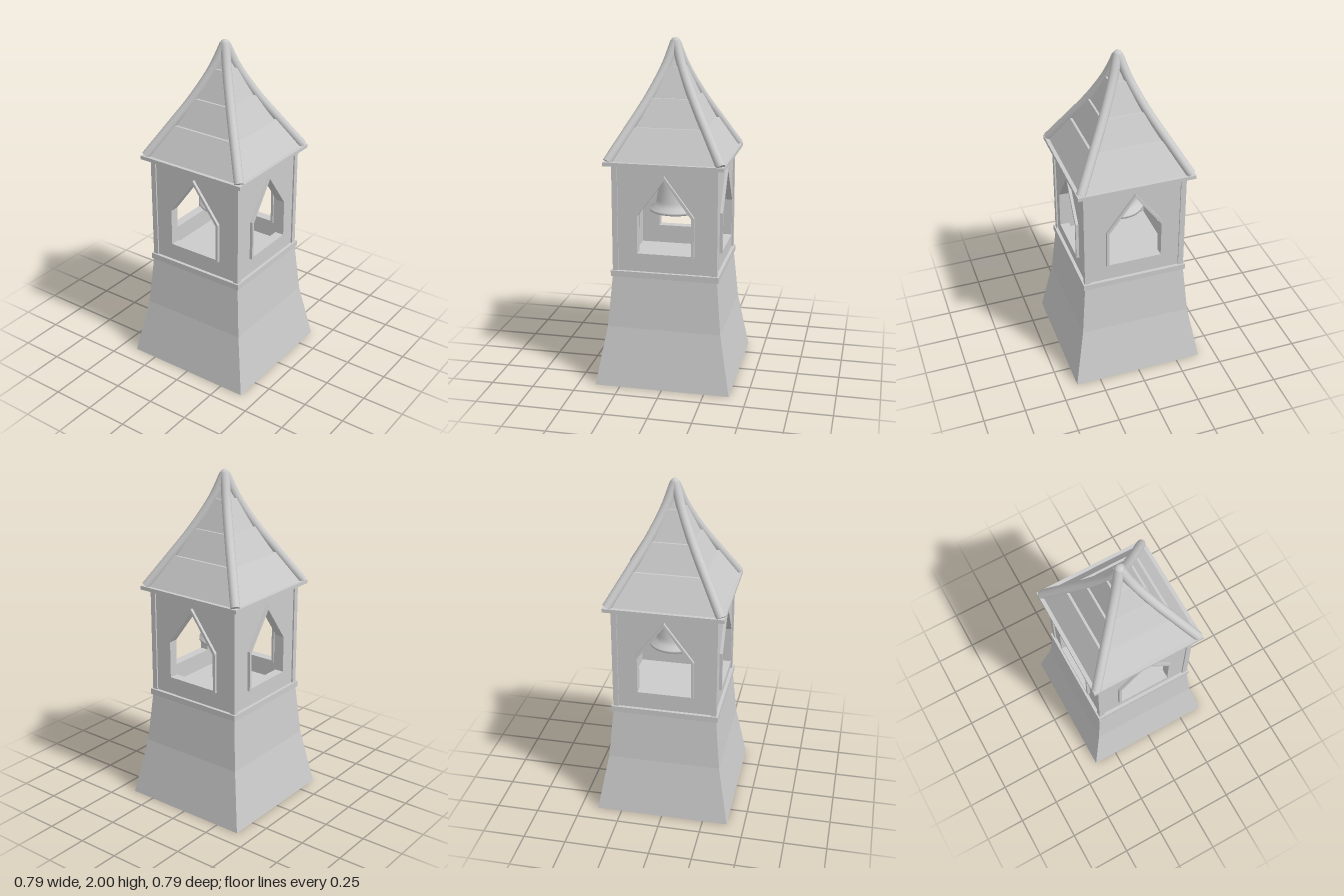
import * as THREE from 'three';

const grey = new THREE.MeshStandardMaterial({ color: 0xcccccc });
const flat = new THREE.MeshStandardMaterial({ color: 0xcccccc, flatShading: true });
const flatDouble = new THREE.MeshStandardMaterial({ color: 0xcccccc, flatShading: true, side: THREE.DoubleSide });
const smoothDouble = new THREE.MeshStandardMaterial({ color: 0xcccccc, side: THREE.DoubleSide });

function add(parent, name, geometry, material = flat, x = 0, y = 0, z = 0) {
  const mesh = new THREE.Mesh(geometry, material);
  mesh.name = name;
  mesh.position.set(x, y, z);
  parent.add(mesh);
  return mesh;
}

// Square frustum between two heights, given half widths
function frustum(y0, half0, y1, half1, open = false) {
  const g = new THREE.CylinderGeometry(half1 * Math.SQRT2, half0 * Math.SQRT2, y1 - y0, 4, 1, open);
  return g.rotateY(Math.PI / 4).translate(0, (y0 + y1) / 2, 0);
}

// Pointed window outline
function windowPath(PathClass, half, sill, shoulder, apex) {
  const p = new PathClass();
  p.moveTo(-half, sill);
  p.lineTo(half, sill);
  p.lineTo(half, shoulder);
  p.lineTo(0, apex);
  p.lineTo(-half, shoulder);
  p.closePath();
  return p;
}

export function createModel() {
  const model = new THREE.Group();
  model.name = 'bellTower';

  // Flared hollow base
  add(model, 'lowerBase', frustum(0, 0.397, 0.35, 0.333, true), flatDouble);
  add(model, 'upperBase', frustum(0.35, 0.333, 0.66, 0.305, true), flatDouble);

  // Belfry floor and eave slab
  add(model, 'belfryFloor', new THREE.BoxGeometry(0.63, 0.035, 0.63), flat, 0, 0.6725, 0);
  add(model, 'eaveSlab', new THREE.BoxGeometry(0.69, 0.022, 0.69), flat, 0, 1.324, 0);

  // Four walls, each with a pointed opening and a raised frame
  const wallShape = new THREE.Shape();
  wallShape.moveTo(-0.28, 0.68);
  wallShape.lineTo(0.28, 0.68);
  wallShape.lineTo(0.28, 1.32);
  wallShape.lineTo(-0.28, 1.32);
  wallShape.closePath();
  wallShape.holes.push(windowPath(THREE.Path, 0.16, 0.8, 1.025, 1.245));
  const wallGeometry = new THREE.ExtrudeGeometry(wallShape, { depth: 0.03, bevelEnabled: false });

  const frameShape = windowPath(THREE.Shape, 0.172, 0.79, 1.03, 1.26);
  frameShape.holes.push(windowPath(THREE.Path, 0.157, 0.803, 1.022, 1.237));
  const frameGeometry = new THREE.ExtrudeGeometry(frameShape, { depth: 0.055, bevelEnabled: false });

  for (let i = 0; i < 4; i++) {
    const side = new THREE.Group();
    side.name = 'belfrySide' + (i + 1);
    add(side, 'wall', wallGeometry, flat, 0, 0, 0.266);
    add(side, 'windowFrame', frameGeometry, flat, 0, 0, 0.258);
    add(side, 'cornerPost', new THREE.BoxGeometry(0.032, 0.64, 0.032), flat, 0.289, 1.0, 0.289);
    side.rotation.y = i * Math.PI / 2;
    model.add(side);
  }

  // Stepped roof tiers: bottom height, bottom half width, top height, top half width
  const tiers = [
    [1.335, 0.323, 1.515, 0.223],
    [1.515, 0.209, 1.67, 0.14],
    [1.67, 0.128, 1.84, 0.063],
    [1.84, 0.052, 1.96, 0.004],
  ];
  tiers.forEach((t, i) => add(model, 'roofTier' + (i + 1), frustum(...t)));

  // Curved hip ribs meeting in a rounded tip
  const ribPoints = [[0.322, 1.335], [0.216, 1.515], [0.127, 1.67], [0.047, 1.84], [0.003, 1.972]];
  for (let i = 0; i < 4; i++) {
    const sx = i % 2 ? 1 : -1;
    const sz = i < 2 ? 1 : -1;
    const path = new THREE.CatmullRomCurve3(ribPoints.map(([r, y]) => new THREE.Vector3(sx * r, y, sz * r)));
    add(model, 'hipRib' + (i + 1), new THREE.TubeGeometry(path, 24, 0.027, 16), grey);

    // Flat disc closing the lower end of the rib
    const cap = add(model, 'ribEnd' + (i + 1), new THREE.CircleGeometry(0.027, 16), grey);
    const start = path.getPoint(0);
    cap.position.copy(start);
    cap.lookAt(start.clone().sub(path.getTangent(0)));
  }
  add(model, 'roofTip', new THREE.SphereGeometry(0.028, 16, 12), grey, 0, 1.972, 0);

  // Bell with flared rim, clapper and hanger
  const bellProfile = [
    [0.105, 1.0], [0.15, 0.987], [0.152, 1.003], [0.122, 1.018], [0.112, 1.05],
    [0.1, 1.12], [0.088, 1.18], [0.072, 1.22], [0.04, 1.243], [0, 1.25],
  ].map(([r, y]) => new THREE.Vector2(r, y));
  add(model, 'bell', new THREE.LatheGeometry(bellProfile, 32), smoothDouble);
  add(model, 'clapper', new THREE.SphereGeometry(0.034, 20, 14), grey, 0, 0.978, 0);
  add(model, 'clapperRod', new THREE.CylinderGeometry(0.01, 0.01, 0.25, 10), grey, 0, 1.115, 0);
  add(model, 'bellHanger', new THREE.CylinderGeometry(0.02, 0.02, 0.08, 12), grey, 0, 1.28, 0);

  return model;
}
